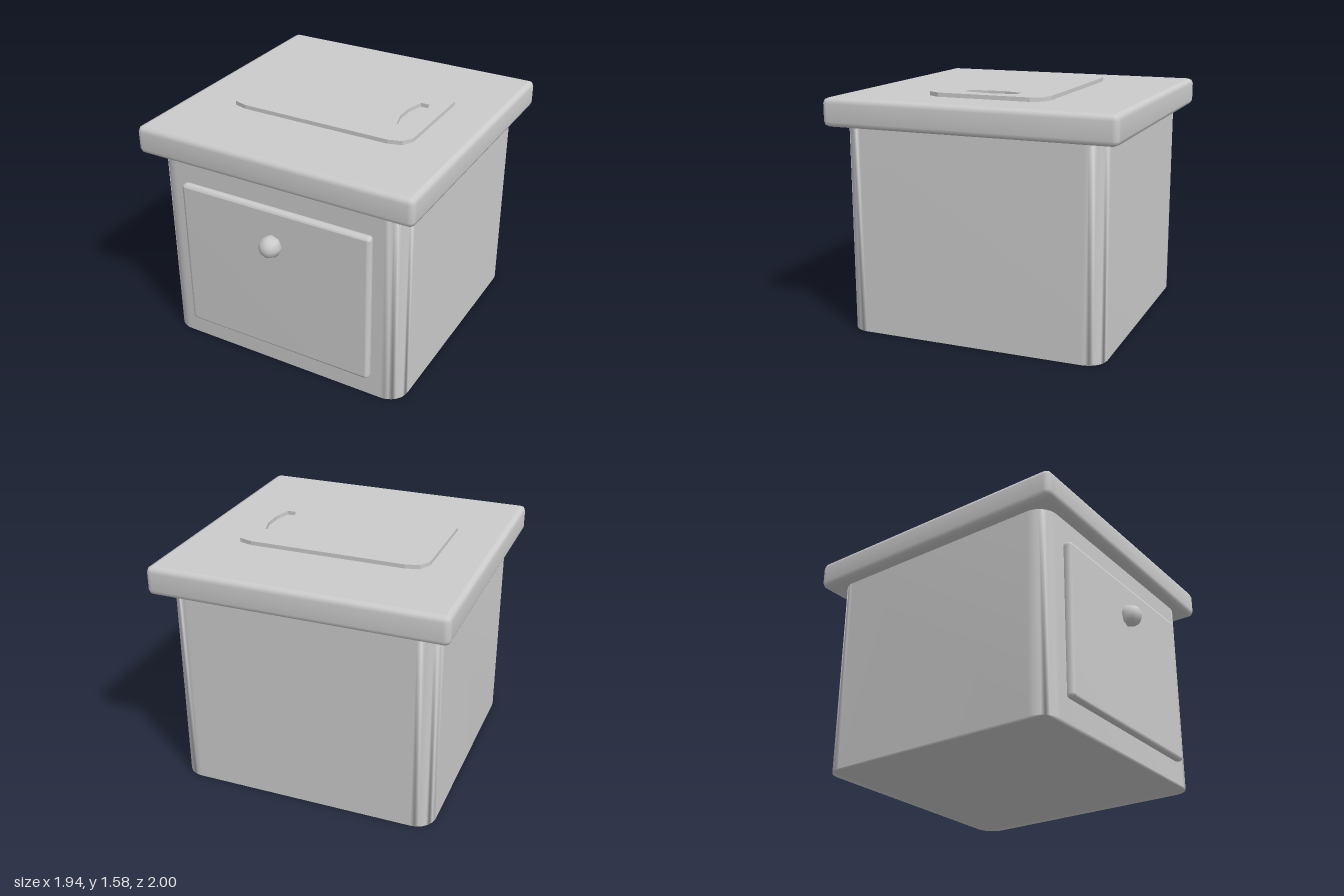
import * as THREE from 'three';
import { mergeVertices } from 'three/addons/utils/BufferGeometryUtils.js';

const material = new THREE.MeshStandardMaterial({ color: 0xcccccc });

function roundedRect(w, h, r) {
  const x = w / 2 - r, y = h / 2 - r, q = Math.PI / 2;
  const s = new THREE.Shape();
  s.absarc(x, y, r, 0, q);
  s.absarc(-x, y, r, q, 2 * q);
  s.absarc(-x, -y, r, 2 * q, 3 * q);
  s.absarc(x, -y, r, 3 * q, 4 * q);
  s.closePath();
  return s;
}

// Rounded slab rising from z = 0 to z = height, with shared soft normals
function softSlab(w, h, height, r, segments, bevel = 0) {
  const geometry = new THREE.ExtrudeGeometry(roundedRect(w, h, r), {
    depth: height - 2 * bevel, curveSegments: segments,
    bevelEnabled: bevel > 0, bevelThickness: bevel, bevelSize: bevel,
    bevelOffset: -bevel, bevelSegments: 2,
  });
  geometry.translate(0, 0, bevel);
  geometry.deleteAttribute('uv');
  geometry.deleteAttribute('normal');
  const merged = mergeVertices(geometry, 1e-4);
  merged.computeVertexNormals();
  return merged;
}

function polygon(points, Type) {
  return new Type(points.map(([x, y]) => new THREE.Vector2(x, y)));
}

export function createModel() {
  const model = new THREE.Group();
  const add = (name, geometry, x, y, z) => {
    const mesh = new THREE.Mesh(geometry, material);
    mesh.name = name;
    mesh.position.set(x, y, z);
    model.add(mesh);
  };
  const upright = (geometry) => geometry.rotateX(-Math.PI / 2);

  // Cabinet body with rounded vertical corners
  add('body', upright(softSlab(1.76, 1.75, 1.37, 0.13, 4)), 0, 0, -0.025);

  // Overhanging top with softened edges
  add('top', upright(softSlab(1.94, 1.94, 0.185, 0.04, 2, 0.035)), 0, 1.37, -0.03);

  // Front door panel
  add('door', softSlab(1.36, 1.05, 0.06, 0.025, 2, 0.02), 0, 0.675, 0.84);

  // Round knob, its pole pointing forward
  const knob = new THREE.SphereGeometry(0.075, 8, 16).rotateX(Math.PI / 2);
  add('knob', knob, 0, 0.955, 0.925);

  // Thin board with clipped corners and a hand slot
  const corner = [[0.65, 0.31], [0.61, 0.385], [0.52, 0.41]];
  const mirror = (sx, sy) => {
    const points = corner.map(([x, y]) => [x * sx, y * sy]);
    return sx * sy < 0 ? points.reverse() : points;
  };
  const board = polygon(
    [...mirror(1, 1), ...mirror(-1, 1), ...mirror(-1, -1), ...mirror(1, -1)], THREE.Shape);
  const slot = [[0.03, 0.18], [-0.03, 0.18], [-0.0625, 0.06], [-0.0625, -0.06],
    [-0.03, -0.18], [0.03, -0.18], [0.0625, -0.06], [0.0625, 0.06]];
  board.holes.push(polygon(slot.map(([x, y]) => [x + 0.497, y]), THREE.Path));
  const boardGeometry = new THREE.ExtrudeGeometry(board, { depth: 0.027, bevelEnabled: false });
  add('board', upright(boardGeometry), 0, 1.555, -0.03);

  return model;
}
